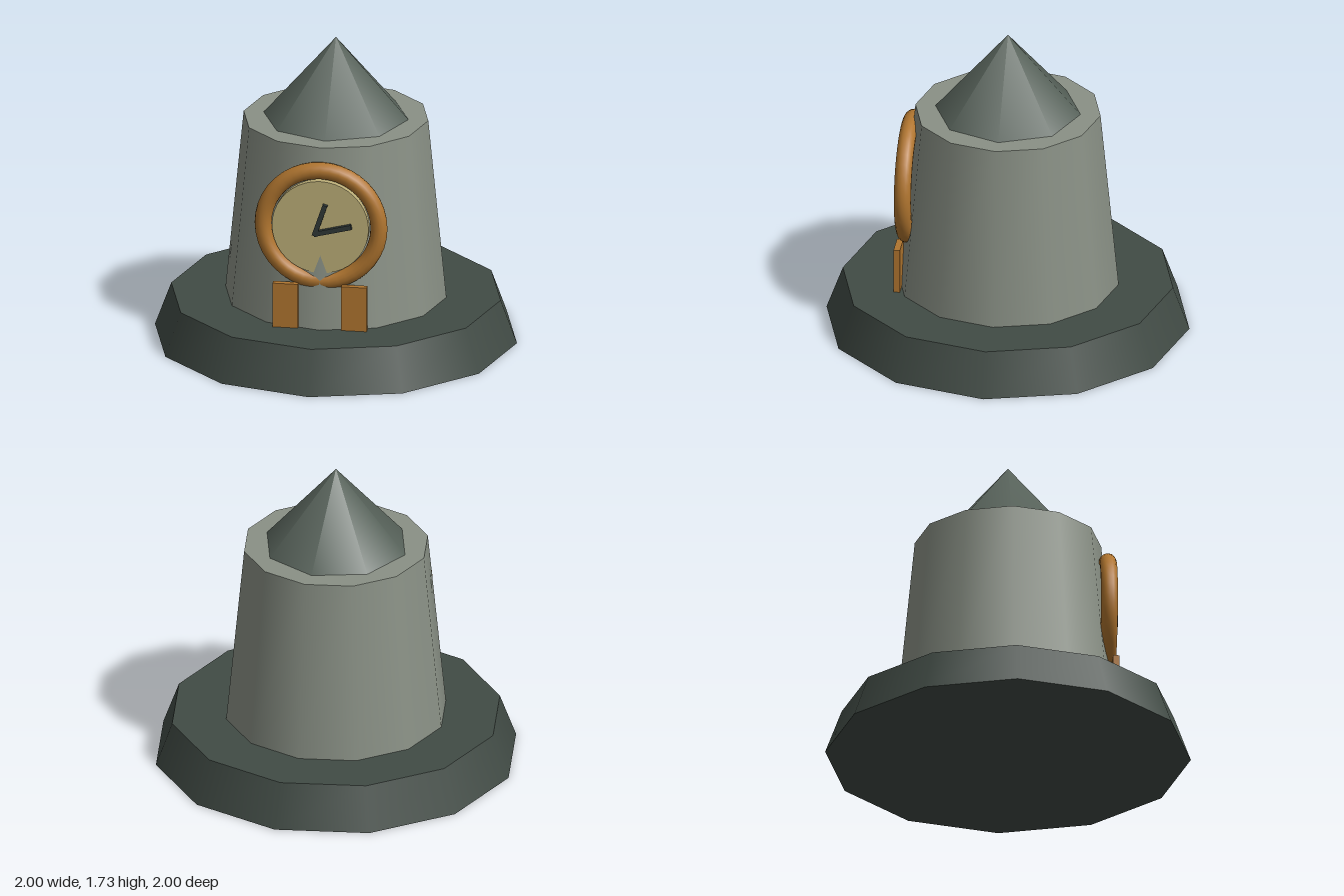
import * as THREE from 'three';

export function createModel() {
  const model = new THREE.Group();
  const mat = (color) => new THREE.MeshStandardMaterial({ color });
  const darkStone = mat(0x414b45);
  const stone = mat(0x8a9186);
  const slate = mat(0x566159);
  const wood = mat(0xb0752f);
  const cream = mat(0xbcae78);
  const black = mat(0x2f3736);

  const add = (name, geometry, material, x, y, z) => {
    const mesh = new THREE.Mesh(geometry, material);
    mesh.name = name;
    mesh.position.set(x, y, z);
    model.add(mesh);
    return mesh;
  };

  // Stepped body: plinth, tapered tower, pointed roof
  const plinthTop = 0.245, towerTop = 1.27, roofTop = 1.73;
  add('plinth', new THREE.CylinderGeometry(0.91, 1, plinthTop, 12), darkStone, 0, plinthTop / 2, 0);
  add('tower', new THREE.CylinderGeometry(0.51, 0.61, towerTop - plinthTop, 12), stone,
    0, (plinthTop + towerTop) / 2, 0);
  add('roof', new THREE.ConeGeometry(0.4, roofTop - towerTop, 8), slate, 0, (towerTop + roofTop) / 2, 0);

  // Clock: rim and dial, set into the front edge of the tower
  const clockY = 0.83;
  add('clockRim', new THREE.TorusGeometry(0.32, 0.047, 14, 40), wood, 0, clockY, 0.538);
  const dial = add('clockDial', new THREE.CylinderGeometry(0.267, 0.267, 0.04, 40), cream, 0, clockY, 0.549);
  dial.rotation.x = Math.PI / 2;

  // A hand is a thin bar between two points on the dial
  const addHand = (name, x0, y0, x1, y1) => {
    const length = Math.hypot(x1 - x0, y1 - y0);
    const hand = add(name, new THREE.BoxGeometry(length, 0.027, 0.025), black,
      (x0 + x1) / 2, (y0 + y1) / 2, 0.587);
    hand.rotation.z = Math.atan2(y1 - y0, x1 - x0);
  };
  addHand('hourHand', -0.03, 0.789, 0.03, 0.968);
  addHand('minuteHand', -0.032, 0.797, 0.174, 0.849);

  // Posts below the clock
  for (const [side, sign] of [['left', 1], ['right', -1]]) {
    add(`${side}Post`, new THREE.BoxGeometry(0.14, 0.255, 0.035), wood, sign * 0.19, 0.3725, 0.578);
  }

  return model;
}
